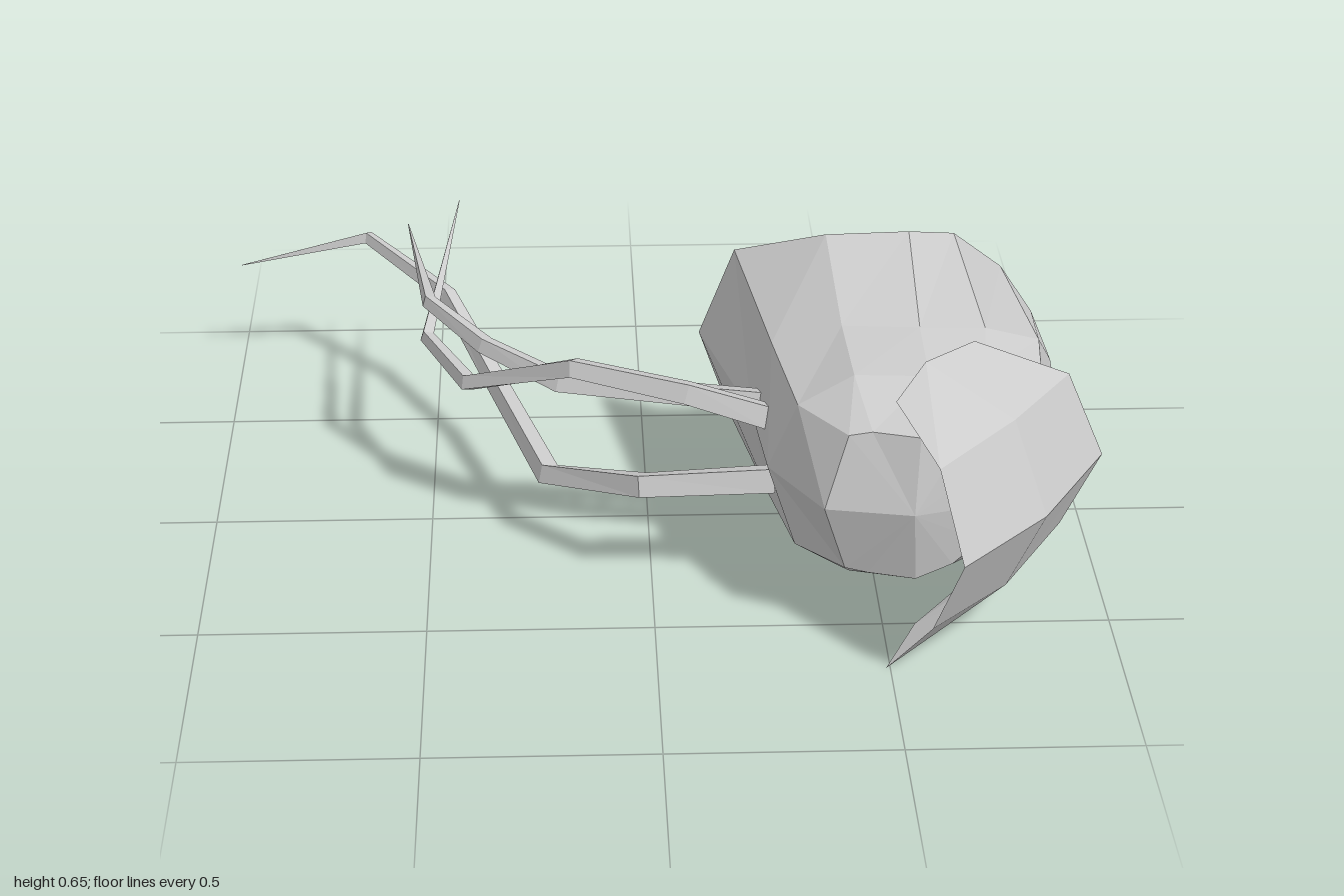
import * as THREE from 'three';

const MID = 0.328; // height of the horizontal mirror plane
const material = new THREE.MeshStandardMaterial({ color: 0xcccccc, flatShading: true, side: THREE.DoubleSide });

// Skin a list of cross-sections; closed joins the ends of each section
function loft(name, rings, closed) {
  const n = rings[0].length;
  const index = [];
  for (let r = 0; r < rings.length - 1; r++) {
    for (let i = 0; i < (closed ? n : n - 1); i++) {
      const j = (i + 1) % n;
      const a = r * n + i, b = r * n + j, c = a + n, d = b + n;
      index.push(a, b, c, b, d, c);
    }
  }
  let geometry = new THREE.BufferGeometry();
  geometry.setAttribute('position', new THREE.Float32BufferAttribute(rings.flat(2), 3));
  geometry.setIndex(index);
  geometry = geometry.toNonIndexed();
  geometry.computeVertexNormals();
  const mesh = new THREE.Mesh(geometry, material);
  mesh.name = name;
  return mesh;
}

const flip = ([x, y, z]) => [x, 2 * MID - y, z];
// Upper half from one mid-height end to the other, completed below
const mirrorRing = (half) => [...half, ...half.slice(1, -1).reverse().map(flip)];
// Upper half from the top edge to mid height, completed below
const mirrorStrip = (half) => [...half, ...half.slice(0, -1).reverse().map(flip)];

// Tapering four-sided limb through the given points
function limb(name, points, radius) {
  const path = points.map((p) => new THREE.Vector3(...p));
  const up = new THREE.Vector3(0, 1, 0);
  const last = path.length - 1;
  const rings = path.map((p, i) => {
    const t = new THREE.Vector3();
    if (i > 0) t.add(p.clone().sub(path[i - 1]).normalize());
    if (i < last) t.add(path[i + 1].clone().sub(p).normalize());
    t.normalize();
    const side = new THREE.Vector3().crossVectors(t, up).normalize();
    const top = new THREE.Vector3().crossVectors(side, t);
    const size = i === last ? 0.001 : radius * (1 - 0.62 * i / last);
    return [0, 1, 2, 3].map((k) => {
      const a = k * Math.PI / 2 + 0.5;
      return p.clone().addScaledVector(side, Math.cos(a) * size).addScaledVector(top, Math.sin(a) * size).toArray();
    });
  });
  return loft(name, rings, true);
}

export function createModel() {
  const group = new THREE.Group();
  group.name = 'hoodedShellWithTendrils';

  // Hollow hood: open scalloped rim at the back, closed at the front
  const hood = [
    [[0.13, MID, -0.30], [0.21, 0.55, -0.28], [0.41, 0.65, -0.14], [0.60, 0.655, -0.14],
      [0.72, 0.59, -0.27], [0.85, 0.45, -0.385], [0.93, MID, -0.39]],
    [[0.23, MID, 0.11], [0.27, 0.52, 0.15], [0.42, 0.585, 0.20], [0.59, 0.588, 0.22],
      [0.74, 0.565, 0.18], [0.87, 0.505, 0.12], [0.94, MID, -0.13]],
    [[0.25, MID, 0.37], [0.31, 0.50, 0.41], [0.43, 0.57, 0.41], [0.59, 0.57, 0.42],
      [0.72, 0.55, 0.37], [0.85, 0.50, 0.33], [0.91, MID, 0.30]],
    [[0.36, MID, 0.565], [0.41, 0.49, 0.535], [0.46, 0.50, 0.54], [0.56, 0.50, 0.57],
      [0.64, 0.47, 0.56], [0.70, 0.42, 0.55], [0.73, MID, 0.55]],
  ].map(mirrorRing);
  hood.push(hood[0].map(() => [0.55, MID, 0.60]));
  group.add(loft('hood', hood, true));

  // Curved plate overlapping the front corner of the hood
  const plate = [
    [[0.49, 0.65, 0.69], [0.58, 0.52, 0.745], [0.63, MID, 0.82]],
    [[0.57, 0.65, 0.51], [0.76, 0.53, 0.55], [0.83, MID, 0.61]],
    [[0.69, 0.63, 0.375], [0.91, 0.515, 0.31], [0.99, MID, 0.335]],
  ].map(mirrorStrip);
  group.add(loft('frontPlate', plate, false));

  // Three jointed tendrils
  group.add(limb('longTendril', [
    [0.27, 0.27, 0.32], [-0.02, 0.245, 0.295], [-0.23, 0.17, 0.10], [-0.35, 0.20, -0.30],
    [-0.47, 0.305, -0.57], [-0.67, 0.36, -0.79], [-0.99, 0.275, -0.82],
  ], 0.038));
  group.add(limb('middleTendril', [
    [0.27, 0.38, 0.24], [0.08, 0.44, 0.23], [-0.17, 0.47, 0.16], [-0.41, 0.34, -0.03],
    [-0.51, 0.34, -0.27], [-0.44, 0.48, -0.74],
  ], 0.036));
  group.add(limb('rearTendril', [
    [0.27, 0.37, 0.145], [-0.20, 0.40, 0.09], [-0.37, 0.435, -0.03], [-0.50, 0.465, -0.20],
    [-0.57, 0.39, -0.80],
  ], 0.034));

  return group;
}
